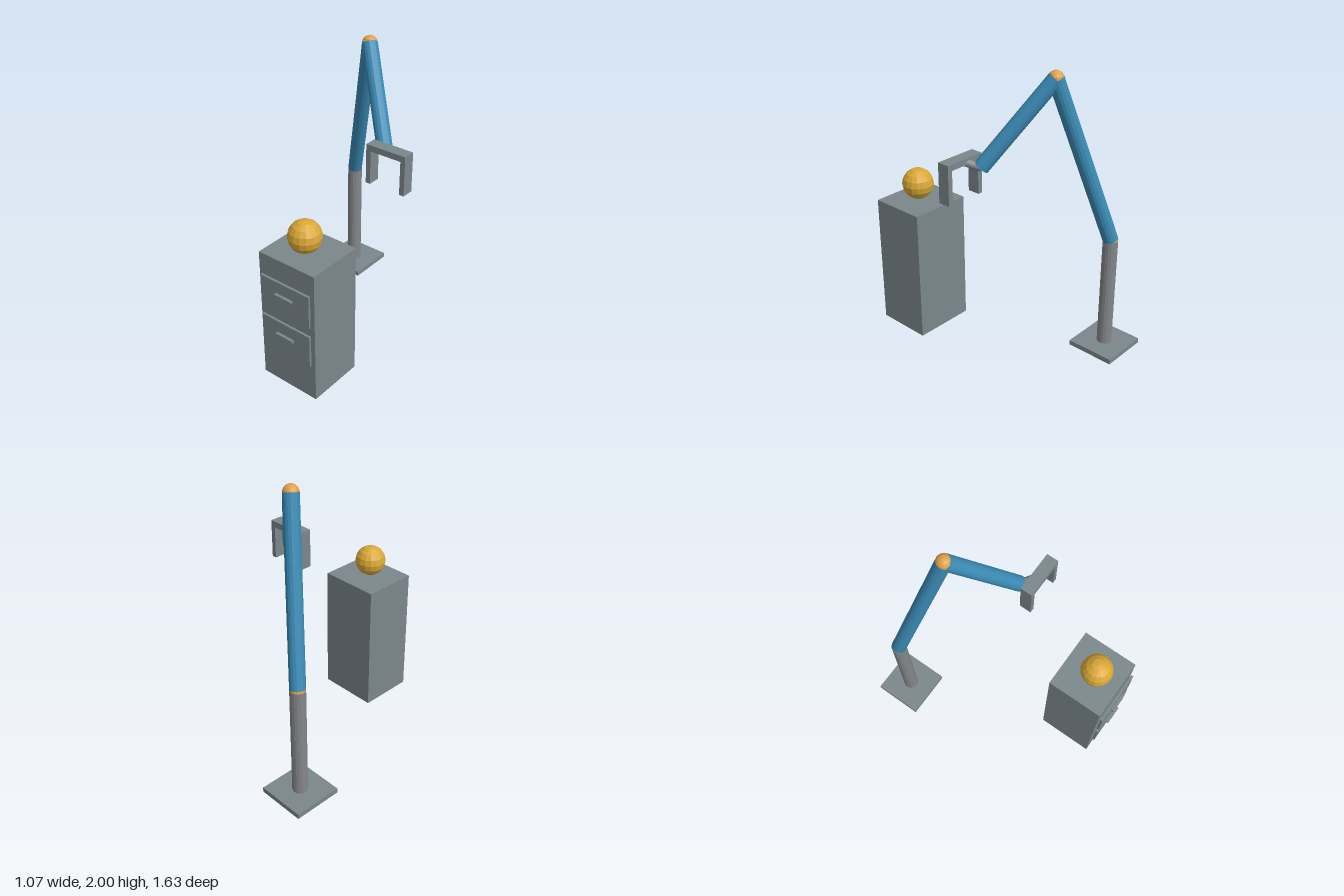
import * as THREE from 'three';

export function createModel() {
  const model = new THREE.Group();
  model.name = 'robotArmAndCabinet';

  const material = (name, color, flat = true) => {
    const m = new THREE.MeshStandardMaterial({ color, flatShading: flat });
    m.name = name;
    return m;
  };
  const grey = material('slate grey', 0x7b878c);
  const steel = material('steel grey', 0x84878a);
  const blue = material('arm blue', 0x3a8ab4);
  const orange = material('joint orange', 0xe0a04a);
  const gold = material('ball gold', 0xd9a836);

  const add = (parent, name, geometry, mat, x, y, z) => {
    const mesh = new THREE.Mesh(geometry, mat);
    mesh.name = name;
    mesh.position.set(x, y, z);
    parent.add(mesh);
    return mesh;
  };
  const box = (parent, name, mat, w, h, d, x, y, z) =>
    add(parent, name, new THREE.BoxGeometry(w, h, d), mat, x, y, z);
  const ball = (parent, name, mat, r, p) =>
    add(parent, name, new THREE.SphereGeometry(r, 16, 8), mat, p.x, p.y, p.z);
  // cylinder running between two points
  const rod = (parent, name, mat, r, a, b) => {
    const dir = b.clone().sub(a);
    const mid = a.clone().add(b).multiplyScalar(0.5);
    const mesh = add(parent, name, new THREE.CylinderGeometry(r, r, dir.length(), 16), mat, mid.x, mid.y, mid.z);
    mesh.quaternion.setFromUnitVectors(new THREE.Vector3(0, 1, 0), dir.normalize());
    return mesh;
  };
  const group = (name) => {
    const g = new THREE.Group();
    g.name = name;
    model.add(g);
    return g;
  };

  // Robot arm: base, column, two links and their joints
  const arm = group('robotArm');
  const foot = new THREE.Vector3(-0.363, 0.03, -0.642);
  const shoulder = new THREE.Vector3(-0.363, 0.83, -0.642);
  const elbow = new THREE.Vector3(-0.056, 1.948, -0.386);
  const wrist = new THREE.Vector3(0.295, 1.4, -0.095);
  const grip = new THREE.Vector3(0.39, 1.451, -0.01);
  const R = 0.052;
  box(arm, 'basePlate', grey, 0.344, 0.035, 0.344, foot.x, 0.0175, foot.z);
  rod(arm, 'column', steel, R, foot, shoulder);
  ball(arm, 'shoulderJoint', orange, R, shoulder);
  rod(arm, 'lowerArm', blue, R, shoulder, elbow);
  ball(arm, 'elbowJoint', orange, R, elbow);
  rod(arm, 'upperArm', blue, R, elbow, wrist);
  rod(arm, 'wristLink', steel, 0.026, wrist, grip);

  // Gripper: crossbar with two fingers
  const gripper = group('gripper');
  box(gripper, 'gripperBar', grey, 0.294, 0.042, 0.085, grip.x, grip.y, grip.z);
  for (const [side, s] of [['left', 1], ['right', -1]]) {
    box(gripper, side + 'Finger', grey, 0.034, 0.23, 0.085, grip.x + s * 0.13, 1.315, grip.z);
  }

  // Cabinet with two drawers, fronts standing slightly clear of the body
  const cabinet = group('cabinet');
  const cx = 0.211;
  box(cabinet, 'cabinetBody', grey, 0.44, 0.948, 0.4, cx, 0.474, 0.571);
  for (const [name, y] of [['upper', 0.687], ['lower', 0.385]]) {
    box(cabinet, name + 'DrawerFront', grey, 0.39, 0.234, 0.016, cx, y, 0.787);
    box(cabinet, name + 'DrawerHandle', grey, 0.135, 0.018, 0.02, cx, y + 0.024, 0.805);
  }

  // Ball resting on the cabinet
  ball(model, 'ball', gold, 0.11, new THREE.Vector3(cx, 1.058, 0.592));

  return model;
}
